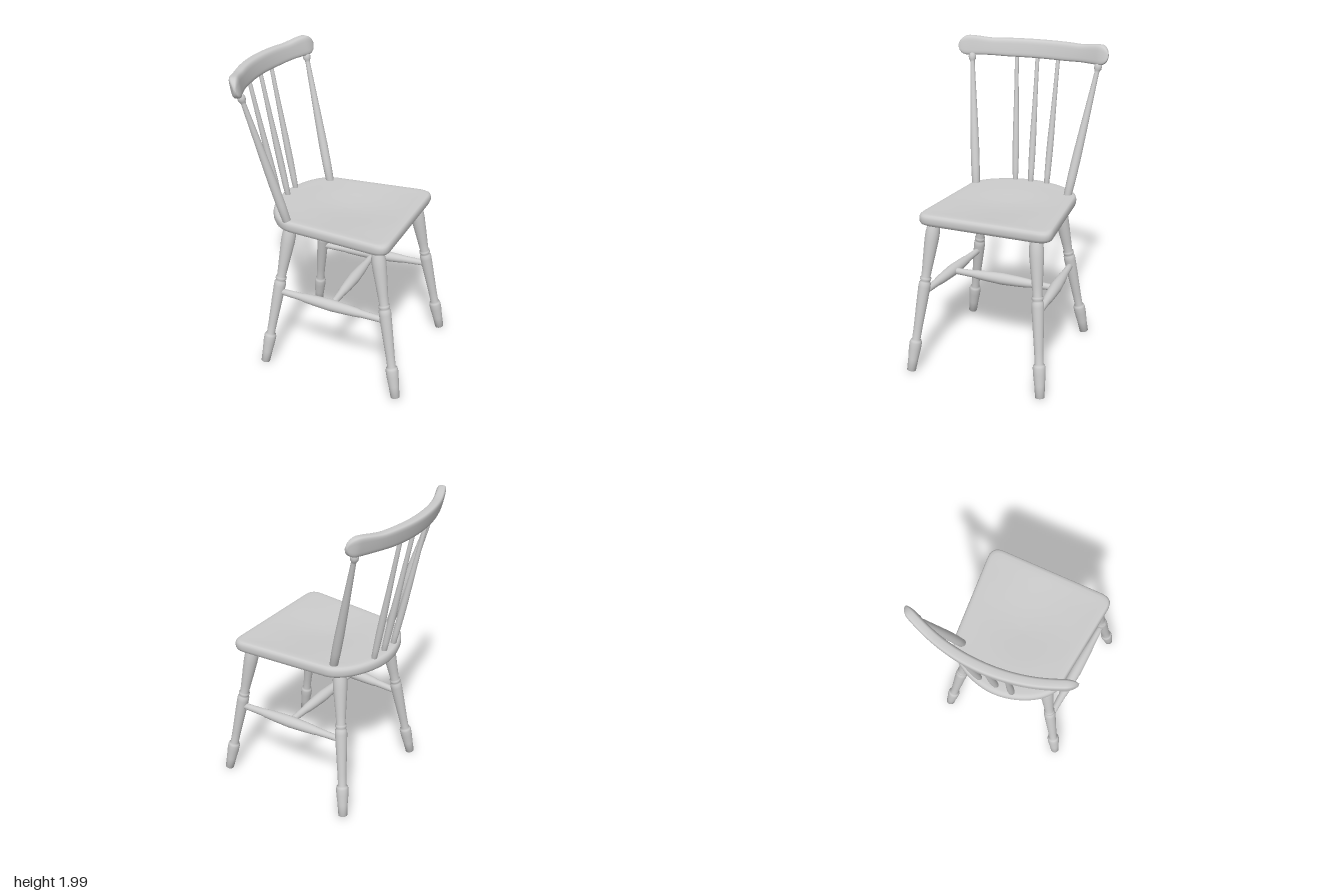
import * as THREE from 'three';

const material = new THREE.MeshStandardMaterial({ color: 0xcccccc });

// Skin over closed rings of equal point count
function loft(name, rings) {
  const n = rings[0].length;
  const index = [];
  for (let j = 0; j < rings.length - 1; j++) {
    for (let i = 0; i < n; i++) {
      const a = j * n + i, b = j * n + (i + 1) % n;
      index.push(a, a + n, b, b, a + n, b + n);
    }
  }
  const geometry = new THREE.BufferGeometry();
  geometry.setAttribute('position', new THREE.Float32BufferAttribute(rings.flat(2), 3));
  geometry.setIndex(index);
  geometry.computeVertexNormals();
  const mesh = new THREE.Mesh(geometry, material);
  mesh.name = name;
  return mesh;
}

// Turned rod between two points; profile holds [position along rod 0..1, radius]
function turned(name, from, to, profile) {
  const a = new THREE.Vector3(...from), axis = new THREE.Vector3(...to).sub(a);
  const length = axis.length();
  const points = [[0, 0], ...profile, [1, 0]].map(([t, r]) => new THREE.Vector2(r, t * length));
  const mesh = new THREE.Mesh(new THREE.LatheGeometry(points, 24), material);
  mesh.position.copy(a);
  mesh.quaternion.setFromUnitVectors(new THREE.Vector3(0, 1, 0), axis.normalize());
  mesh.name = name;
  return mesh;
}

// Shield-shaped seat with rounded rim and shallow dished top
function makeSeat() {
  const outline = new THREE.Shape();
  outline.moveTo(0.485, 0);
  outline.lineTo(0.485, 0.35);
  outline.bezierCurveTo(0.485, 0.41, 0.465, 0.438, 0.405, 0.435);
  outline.lineTo(-0.2, 0.377);
  outline.bezierCurveTo(-0.33, 0.36, -0.43, 0.16, -0.43, 0);
  outline.bezierCurveTo(-0.43, -0.16, -0.33, -0.36, -0.2, -0.377);
  outline.lineTo(0.405, -0.435);
  outline.bezierCurveTo(0.465, -0.438, 0.485, -0.41, 0.485, -0.35);
  outline.lineTo(0.485, 0);
  const points = outline.getSpacedPoints(160).slice(0, 160);
  // [scale, height] from underside centre, round the rim, to the top centre
  const steps = [[0, 0.98], [0.5, 0.98], [0.92, 0.978], [0.96, 0.98], [0.985, 0.988], [1, 1.005],
    [1, 1.028], [0.99, 1.042], [0.97, 1.05], [0.93, 1.053], [0.85, 1.052], [0.75, 1.05],
    [0.6, 1.05], [0.45, 1.05], [0.3, 1.05], [0.15, 1.05], [0, 1.05]];
  const rings = steps.map(([s, h], k) => points.map((p) => {
    const x = 0.03 + (p.x - 0.03) * s, z = p.y * s;
    const d = Math.min(1, Math.hypot((x - 0.1) / 0.36, z / 0.36));
    const dish = k > 8 ? 0.018 * (1 - d * d) ** 2 : 0;
    return [x, h - dish, z - 0.026];
  }));
  return loft('seat', rings);
}

// Curved crest rail with softly swollen, rounded ends
function makeCrestRail() {
  const rings = [];
  const stations = 56, sides = 28, half = 0.52, endLength = 0.06;
  for (let j = 0; j <= stations; j++) {
    const z = half * Math.sin((j / stations - 0.5) * Math.PI);
    const u = Math.abs(z) / half;
    const e = Math.max(0, (Math.abs(z) - half + endLength) / endLength);
    const round = Math.sqrt(Math.max(0, 1 - e * e));
    const lift = THREE.MathUtils.smoothstep(u, 0.55, 0.9);
    const dip = Math.exp(-(((u - 0.62) / 0.16) ** 2));
    const h = (0.059 + 0.004 * lift - 0.004 * dip) * round;
    const w = (0.034 - 0.004 * u) * (e >= 1 ? 0 : Math.max(round, 0.35));
    const cx = -0.555 + 0.13 * u * u, cy = 1.922 + 0.012 * lift + 0.002 * dip;
    const slope = 0.26 * z / (half * half);
    const c = 1 / Math.hypot(1, slope);
    const ring = [];
    for (let i = 0; i < sides; i++) {
      const a = i / sides * Math.PI * 2;
      const p = Math.sign(Math.cos(a)) * Math.abs(Math.cos(a)) ** 0.5 * w;
      const q = Math.sign(Math.sin(a)) * Math.abs(Math.sin(a)) ** 0.5 * h;
      ring.push([cx + p * c - q * 0.2, cy + q, z - p * slope * c * (1 - e * 0.999 > 0 ? 1 - Math.min(e, 1) : 0)]);
    }
    // Loop runs clockwise about the travel direction so faces point outward
    rings.push(ring.reverse());
  }
  return loft('crestRail', rings);
}

export function createModel() {
  const model = new THREE.Group();
  model.add(makeSeat(), makeCrestRail());

  const legProfile = [[0, 0.029], [0.08, 0.033], [0.15, 0.039], [0.19, 0.04], [0.205, 0.036], [0.215, 0.027],
    [0.3, 0.029], [0.45, 0.035], [0.57, 0.039], [0.595, 0.038], [0.602, 0.032], [0.612, 0.032], [0.617, 0.036],
    [0.63, 0.036], [0.636, 0.029], [0.7, 0.033], [0.8, 0.04], [0.88, 0.045], [0.93, 0.045], [0.97, 0.04], [1, 0.034]];
  const stretcherProfile = [[0, 0.02], [0.1, 0.022], [0.22, 0.025], [0.25, 0.029], [0.35, 0.034], [0.5, 0.039],
    [0.65, 0.034], [0.75, 0.029], [0.78, 0.025], [0.9, 0.022], [1, 0.02]];
  const postProfile = [[0, 0.026], [0.15, 0.029], [0.3, 0.029], [0.5, 0.025], [0.75, 0.019], [0.93, 0.015],
    [0.945, 0.018], [0.955, 0.024], [0.975, 0.025], [0.99, 0.02], [1, 0.016]];
  const spindleProfile = [[0, 0.017], [0.1, 0.02], [0.25, 0.022], [0.4, 0.021], [0.6, 0.017], [0.8, 0.014], [1, 0.013]];

  // Legs, side stretchers and outer back posts on each side
  for (const [side, s] of [['left', 1], ['right', -1]]) {
    const z = (v) => s * v - 0.012;
    model.add(
      turned(side + 'FrontLeg', [0.578, 0.008, z(0.442)], [0.395, 0.99, z(0.338)], legProfile),
      turned(side + 'RearLeg', [-0.358, 0.008, z(0.425)], [-0.222, 0.99, z(0.265)], legProfile),
      turned(side + 'Stretcher', [-0.28, 0.525, z(0.34)], [0.475, 0.525, z(0.387)], stretcherProfile),
      turned(side + 'BackPost', [-0.215, 1.03, z(0.325)], [-0.442, 1.885, z(0.443)], postProfile),
    );
  }

  // Cross stretcher between the side stretchers
  model.add(turned('crossStretcher', [0.1, 0.525, -0.375], [0.1, 0.525, 0.351], stretcherProfile));

  // Three slim spindles
  for (const [bottom, top] of [[0.09, 0.148], [-0.02, 0], [-0.135, -0.146]]) {
    model.add(turned('backSpindle', [-0.376, 1.03, bottom], [-0.543, 1.89, top], spindleProfile));
  }
  return model;
}
